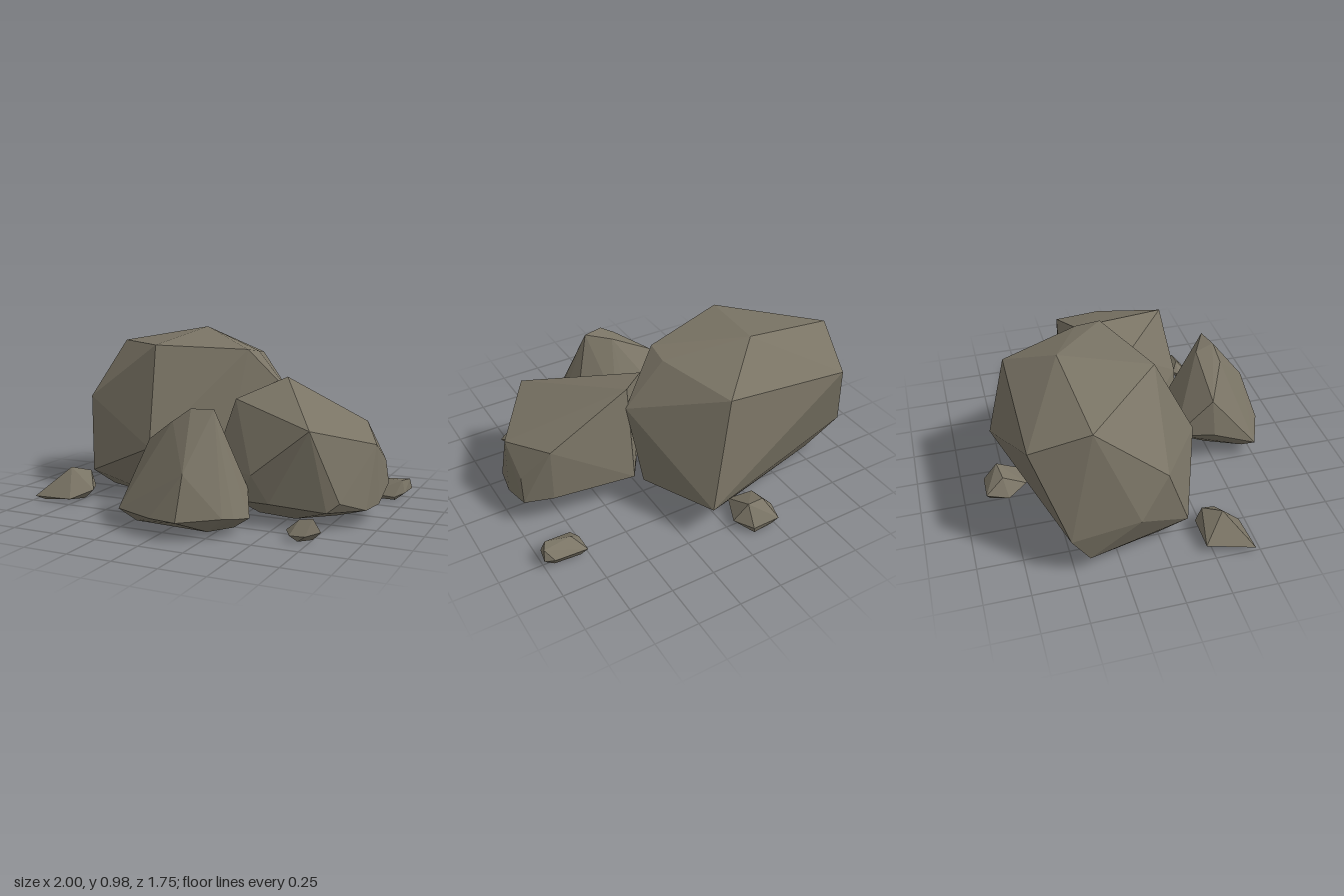
import * as THREE from 'three';
import { ConvexGeometry } from 'three/addons/geometries/ConvexGeometry.js';

const stone = new THREE.MeshStandardMaterial({ color: 0x7a7465, flatShading: true });
stone.name = 'stone';

// A faceted rock: the convex hull of its corner points
function rock(name, corners) {
  const points = corners.map(([x, y, z]) => new THREE.Vector3(x, y, z));
  const mesh = new THREE.Mesh(new ConvexGeometry(points), stone);
  mesh.name = name;
  return mesh;
}

export function createModel() {
  const group = new THREE.Group();
  group.name = 'rockPile';

  group.add(rock('largeBoulder', [
    // crown
    [-0.31, 0.98, -0.44], [-0.87, 0.88, -0.38], [-0.41, 0.90, 0.06],
    [0.11, 0.88, -0.11], [0.12, 0.86, -0.25], [-0.03, 0.81, -0.69], [-0.77, 0.74, -0.69],
    // flanks
    [-0.90, 0.56, 0.00], [-0.975, 0.35, -0.16], [0.34, 0.61, -0.23], [-0.31, 0.34, 0.33],
    [-0.80, 0.13, 0.15], [-0.94, 0.26, -0.52], [-0.92, 0.10, -0.42], [0.12, 0.21, -0.79],
    [0.29, 0.16, -0.33], [0.05, 0.12, 0.13],
    // underside
    [-0.75, 0.02, 0.00], [-0.35, 0.01, 0.14], [0.00, 0.01, 0.00], [0.08, 0.02, -0.30],
    [-0.20, 0.02, -0.57], [-0.80, 0.03, -0.42], [0.02, 0.04, -0.56],
  ]));

  group.add(rock('mediumBoulder', [
    // crown
    [0.32, 0.72, -0.21], [0.10, 0.61, 0.04], [0.68, 0.53, 0.42], [0.94, 0.42, 0.07],
    [0.80, 0.49, -0.235],
    // flanks
    [0.94, 0.30, -0.13], [0.95, 0.16, -0.17], [0.33, 0.18, -0.30], [0.80, 0.18, -0.24],
    [0.36, 0.27, 0.43], [0.83, 0.15, 0.36], [0.955, 0.09, 0.05], [0.93, 0.09, 0.21],
    [0.77, 0.10, 0.39], [0.47, 0.13, 0.45], [0.28, 0.12, 0.41], [0.02, 0.25, 0.17],
    [0.05, 0.12, 0.17],
    // underside
    [0.35, 0.03, 0.28], [0.55, 0.01, 0.25], [0.75, 0.02, 0.12], [0.60, 0.02, -0.08],
    [0.25, 0.03, 0.00],
  ]));

  group.add(rock('frontBoulder', [
    // crown
    [0.08, 0.63, 0.57], [0.20, 0.63, 0.54], [0.06, 0.60, 0.46], [-0.02, 0.56, 0.585],
    [-0.22, 0.43, 0.48], [0.14, 0.33, 0.79],
    // flanks
    [-0.26, 0.21, 0.49], [-0.26, 0.10, 0.75], [-0.02, 0.10, 0.85], [0.14, 0.10, 0.875],
    [0.34, 0.11, 0.745], [0.38, 0.10, 0.69], [0.415, 0.08, 0.57], [0.34, 0.20, 0.42],
    [0.13, 0.25, 0.29], [0.05, 0.20, 0.26], [-0.19, 0.20, 0.27],
    // underside
    [-0.18, 0.03, 0.70], [0.25, 0.03, 0.73], [0.34, 0.03, 0.60], [0.20, 0.01, 0.45],
    [-0.08, 0.02, 0.50],
  ]));

  // Loose stones around the boulders
  group.add(rock('looseStoneRight', [
    [-0.84, 0.18, 0.33], [-0.76, 0.15, 0.24], [-1.00, 0.02, 0.475], [-0.95, 0.05, 0.21],
    [-0.75, 0.05, 0.21], [-0.68, 0.06, 0.345], [-0.77, 0.02, 0.46], [-0.95, 0.00, 0.45],
    [-0.91, 0.00, 0.25], [-0.73, 0.01, 0.36],
  ]));
  group.add(rock('looseStoneLeft', [
    [0.82, 0.105, -0.48], [0.96, 0.11, -0.45], [0.99, 0.11, -0.51], [0.76, 0.05, -0.56],
    [0.95, 0.06, -0.56], [1.00, 0.05, -0.53], [0.98, 0.04, -0.43], [0.93, 0.02, -0.38],
    [0.78, 0.03, -0.375], [0.76, 0.05, -0.45], [0.79, 0.00, -0.53], [0.94, 0.00, -0.52],
    [0.80, 0.00, -0.40], [0.93, 0.00, -0.40],
  ]));
  group.add(rock('looseStoneFront', [
    [0.68, 0.10, 0.55], [0.75, 0.11, 0.54], [0.61, 0.04, 0.55], [0.63, 0.05, 0.515],
    [0.73, 0.06, 0.50], [0.80, 0.05, 0.56], [0.73, 0.03, 0.605], [0.65, 0.03, 0.615],
    [0.64, 0.00, 0.54], [0.75, 0.00, 0.54], [0.69, 0.00, 0.60],
  ]));
  group.add(rock('looseStoneBack', [
    [-0.11, 0.15, -0.79], [-0.22, 0.13, -0.77], [-0.26, 0.05, -0.875], [-0.10, 0.04, -0.87],
    [-0.03, 0.05, -0.77], [-0.30, 0.04, -0.75], [-0.24, 0.08, -0.64], [-0.10, 0.06, -0.61],
    [-0.23, 0.00, -0.85], [-0.11, 0.00, -0.86], [-0.15, 0.00, -0.64],
  ]));

  return group;
}
